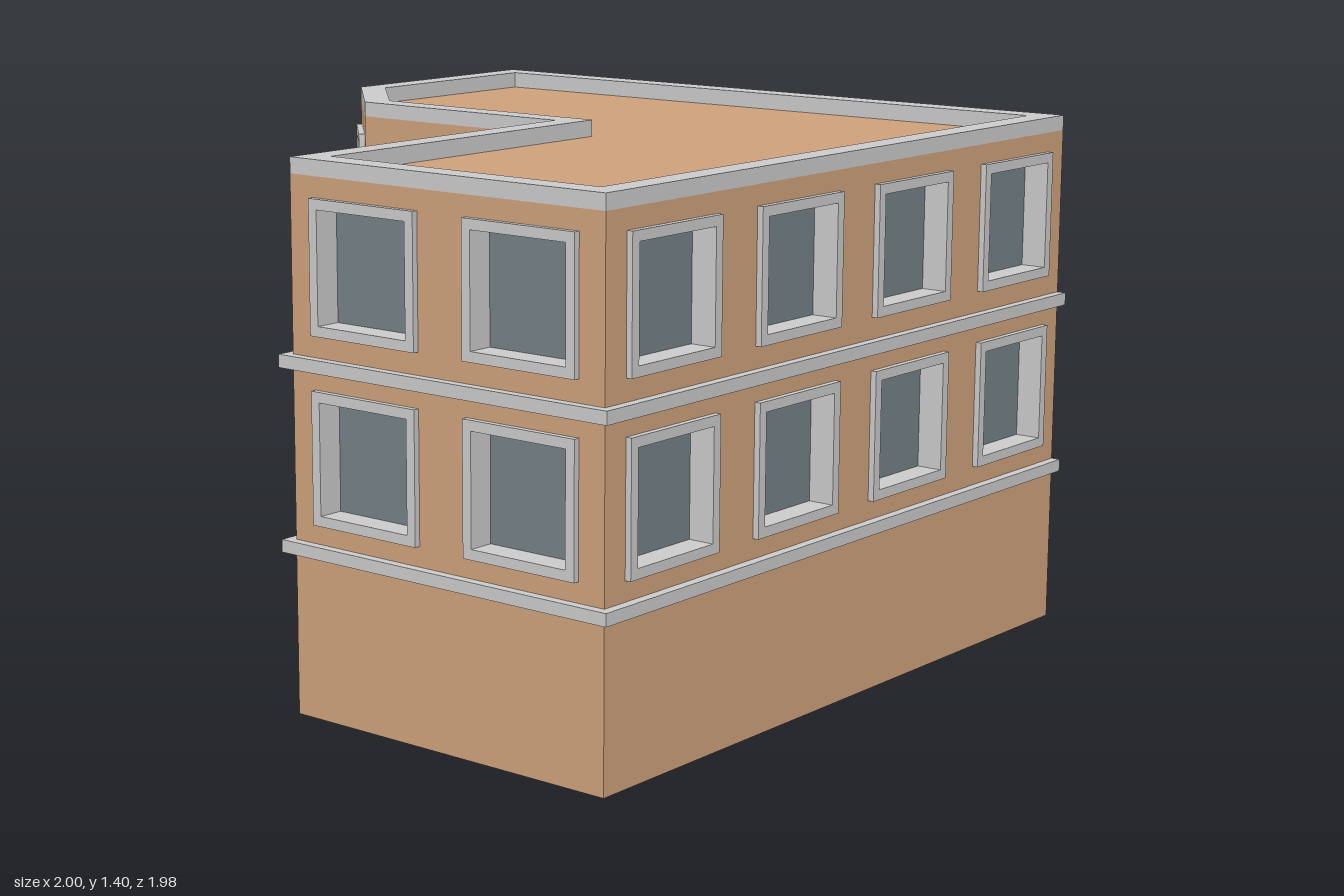
import * as THREE from 'three';

const mat = (name, color) =>
  Object.assign(new THREE.MeshStandardMaterial({ color, side: THREE.DoubleSide }), { name });

// Footprint (x, z) from the back left corner round the street sides to the back right
const FOOT = [[-0.975, -0.99], [-0.975, -0.31], [-0.69, -0.025], [0, -0.025],
  [0, 0.965], [0.97, 0.965], [0.97, -0.99]];
const BASE = 0.01, ROOF = 1.36, TOP = 1.4;
const BANDS = [[0.425, 0.457], [0.887, 0.92]];
const BAND_OUT = 0.025;

// Moves every corner of a path outwards by d, with mitred corners
function offsetPath(path, d, closed) {
  const n = path.length;
  const normal = (i) => {
    const [a, b] = [path[(i + n) % n], path[(i + 1 + n) % n]];
    const l = Math.hypot(b[0] - a[0], b[1] - a[1]);
    return [-(b[1] - a[1]) / l, (b[0] - a[0]) / l];
  };
  return path.map((p, i) => {
    const n1 = normal(!closed && i === 0 ? 0 : i - 1);
    const n2 = normal(!closed && i === n - 1 ? n - 2 : i);
    const k = d / (1 + n1[0] * n2[0] + n1[1] * n2[1]);
    return [p[0] + k * (n1[0] + n2[0]), p[1] + k * (n1[1] + n2[1])];
  });
}

// Sweeps a profile of [outward offset, height] points along a flat path
function sweep(path, profile, closed) {
  const rings = profile.map(([d, h]) => offsetPath(path, d, closed).map(([x, z]) => [x, h, z]));
  const pos = [];
  const n = path.length;
  for (let j = 0; j < rings.length - 1; j++) {
    for (let i = 0; i < (closed ? n : n - 1); i++) {
      const k = (i + 1) % n;
      const [a, b, c, d] = [rings[j][i], rings[j][k], rings[j + 1][k], rings[j + 1][i]];
      pos.push(...a, ...b, ...c, ...a, ...c, ...d);
    }
  }
  const g = new THREE.BufferGeometry();
  g.setAttribute('position', new THREE.Float32BufferAttribute(pos, 3));
  g.computeVertexNormals();
  return g;
}

const rect = (x0, y0, x1, y1, Type = THREE.Shape) =>
  new Type([[x0, y0], [x1, y0], [x1, y1], [x0, y1]].map((p) => new THREE.Vector2(...p)));

export function createModel() {
  const model = new THREE.Group();
  model.name = 'cornerBuilding';
  const wallMat = mat('tan wall', 0xcfa27b);
  const trimMat = mat('light grey trim', 0xcbcbcb);
  const glassMat = mat('blue grey glass', 0x758086);
  const doorMat = mat('grey door', 0xa9adab);

  const add = (parent, name, geometry, material, x = 0, y = 0, z = 0) => {
    const m = new THREE.Mesh(geometry, material);
    m.name = name;
    m.position.set(x, y, z);
    parent.add(m);
    return m;
  };

  // Raised frame with a deep reveal and a recessed pane
  function opening(parent, name, o, paneMat) {
    const g = new THREE.Group();
    g.name = name;
    g.position.set(o.u, o.y, 0);
    const [w, h, t] = [o.w / 2, o.h / 2, 0.026];
    const path = [[-w, -h], [-w, h], [w, h], [w, -h]];
    const profile = [[0, 0], [0, 0.016], [-t, 0.016], [-t, -o.depth]];
    add(g, 'frame', sweep(path, profile, true).rotateX(Math.PI / 2), trimMat);
    add(g, 'pane', new THREE.PlaneGeometry(o.w - 2 * t, o.h - 2 * t), paneMat, 0, 0, -o.depth);
    parent.add(g);
  }

  // Street facades: window centres along each side
  const facades = [
    { name: 'leftFacade', wide: false, at: [0.245] },
    { name: 'cornerFacade', wide: false, at: [0.2], door: true },
    { name: 'courtFrontFacade', wide: false, at: [0.4425] },
    { name: 'courtSideFacade', wide: true, at: [0.2475, 0.7325] },
    { name: 'frontFacade', wide: true, at: [0.2425, 0.7275] },
    { name: 'rightFacade', wide: true, at: [0.2425, 0.7325, 1.2225, 1.7125] },
  ];
  const storeys = [[BASE, BANDS[0][0]], [BANDS[0][1], BANDS[1][0]], [BANDS[1][1], ROOF]];
  const windowY = [null, 0.674, 1.142];

  facades.forEach((f, i) => {
    const [a, b] = [FOOT[i], FOOT[i + 1]];
    const [dx, dz] = [b[0] - a[0], b[1] - a[1]];
    const g = new THREE.Group();
    g.name = f.name;
    g.position.set(a[0], 0, a[1]);
    g.rotation.y = Math.atan2(-dz, dx);
    model.add(g);

    storeys.forEach(([y0, y1], s) => {
      const wall = rect(0, y0, Math.hypot(dx, dz), y1);
      const items = [];
      if (s > 0) {
        const [w, h] = f.wide ? [0.335, 0.333] : [0.24, 0.317];
        f.at.forEach((u) => items.push({ u, y: windowY[s], w, h, depth: 0.053 }));
      } else if (f.door) {
        items.push({ u: f.at[0], y: 0.185, w: 0.22, h: 0.33, depth: 0.025 });
      }
      for (const o of items) {
        wall.holes.push(rect(o.u - o.w / 2, o.y - o.h / 2, o.u + o.w / 2, o.y + o.h / 2, THREE.Path));
        opening(g, s ? 'window' : 'door', o, s ? glassMat : doorMat);
      }
      add(g, 'wall', new THREE.ShapeGeometry(wall), wallMat);
    });

    // Door step
    if (f.door) add(g, 'doorStep', new THREE.BoxGeometry(0.25, 0.02, 0.035), trimMat, f.at[0], 0.01, 0.0175);
  });

  // Plain back wall
  add(model, 'backWall', new THREE.PlaneGeometry(1.945, TOP - BASE), wallMat,
    -0.0025, (TOP + BASE) / 2, -0.99).rotation.y = Math.PI;

  // Floor bands with closed ends at the back
  for (const [y0, y1] of BANDS) {
    const profile = [[0, y0], [BAND_OUT, y0], [BAND_OUT, y1], [0, y1]];
    add(model, 'floorBand', sweep(FOOT, profile, false), trimMat);
    for (const x of [-0.975 - BAND_OUT / 2, 0.97 + BAND_OUT / 2]) {
      add(model, 'bandEnd', new THREE.PlaneGeometry(BAND_OUT, y1 - y0), trimMat,
        x, (y0 + y1) / 2, -0.99).rotation.y = Math.PI;
    }
  }

  // Parapet: outer face on the street sides, coping and inner face all round
  add(model, 'parapetFace', sweep(FOOT, [[0, ROOF], [0, TOP]], false), trimMat);
  add(model, 'parapetCoping', sweep(FOOT, [[0, TOP], [-0.07, TOP], [-0.07, ROOF - 0.004]], true), trimMat);

  // Sunken flat roof
  const roof = new THREE.Shape(offsetPath(FOOT, -0.07, true).map(([x, z]) => new THREE.Vector2(x, -z)));
  add(model, 'roof', new THREE.ShapeGeometry(roof).rotateX(-Math.PI / 2), wallMat, 0, ROOF - 0.004, 0);

  return model;
}
